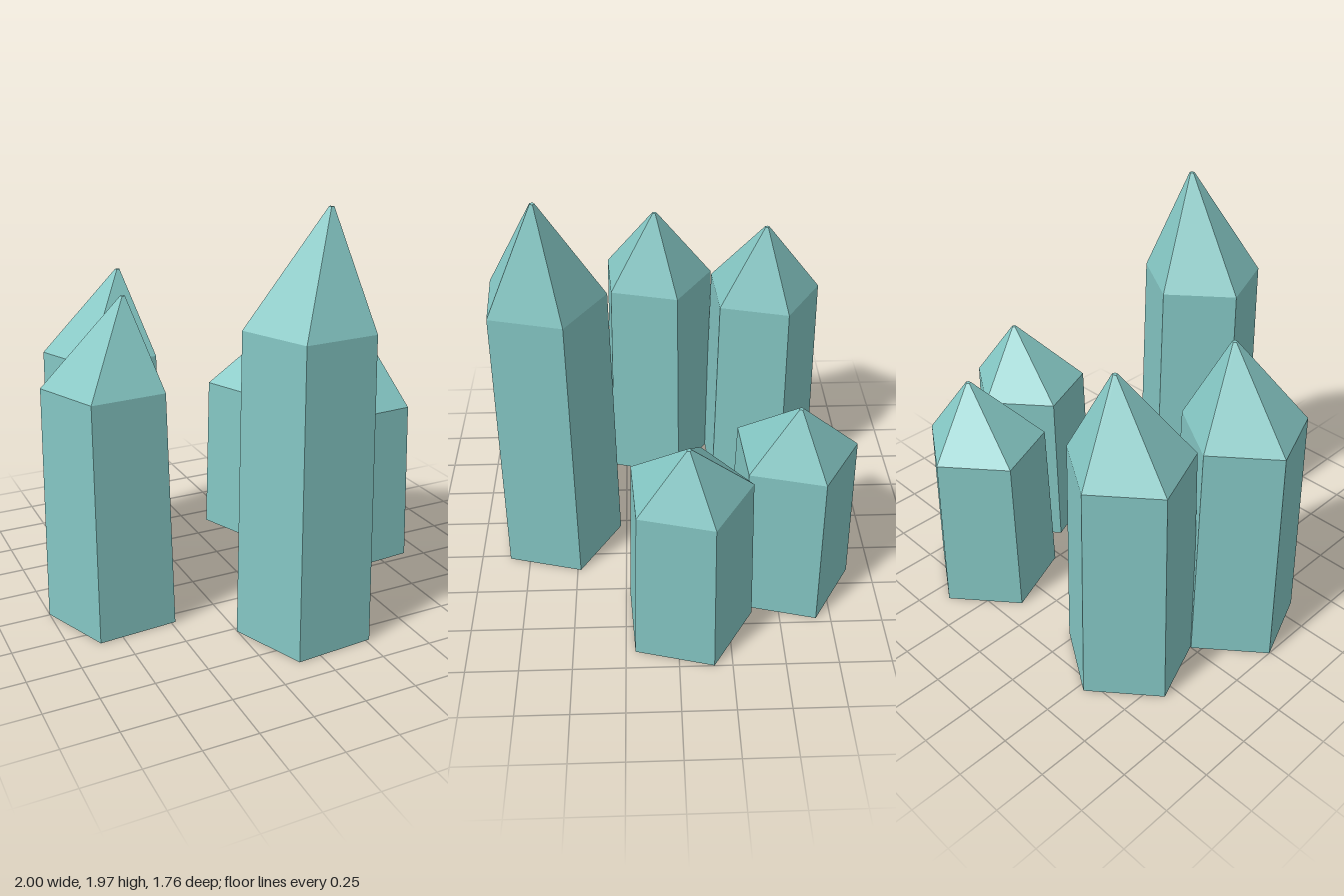
import * as THREE from 'three';

const SIDES = 5;
const TWIST = Math.PI + 0.065;

// Rings of one crystal from base to tip: height fraction, radius, sideways shift
const RINGS = [
  { y: 0, r: 0.324, dx: 0 },
  { y: 0.74, r: 0.301, dx: 0 },
  { y: 1, r: 0.012, dx: 0.088 },
];

// Five-sided tapered shaft with a slanted point, closed at both ends
function crystalGeometry(height) {
  const geometry = new THREE.CylinderGeometry(1, 1, 2, SIDES, 2, false, TWIST);
  const pos = geometry.attributes.position;
  for (let i = 0; i < pos.count; i++) {
    const ring = RINGS[Math.round(pos.getY(i)) + 1];
    pos.setXYZ(i, pos.getX(i) * ring.r + ring.dx, ring.y * height, pos.getZ(i) * ring.r);
  }
  const faceted = geometry.toNonIndexed();
  faceted.computeVertexNormals();
  return faceted;
}

export function createModel() {
  const group = new THREE.Group();
  group.name = 'crystalCluster';

  const teal = new THREE.MeshStandardMaterial({ color: 0x84c6c3, flatShading: true });
  teal.name = 'teal crystal';

  // Crystals standing in a ring: name, x, z, height
  const crystals = [
    ['frontTallCrystal', 0.062, 0.604, 1.97],
    ['rightFrontCrystal', -0.687, 0.073, 1.55],
    ['rightBackCrystal', -0.514, -0.484, 1.55],
    ['leftBackCrystal', 0.425, -0.558, 1.125],
    ['leftFrontCrystal', 0.698, -0.044, 1.125],
  ];
  for (const [name, x, z, height] of crystals) {
    const crystal = new THREE.Mesh(crystalGeometry(height), teal);
    crystal.name = name;
    crystal.position.set(x, 0, z);
    group.add(crystal);
  }
  return group;
}
